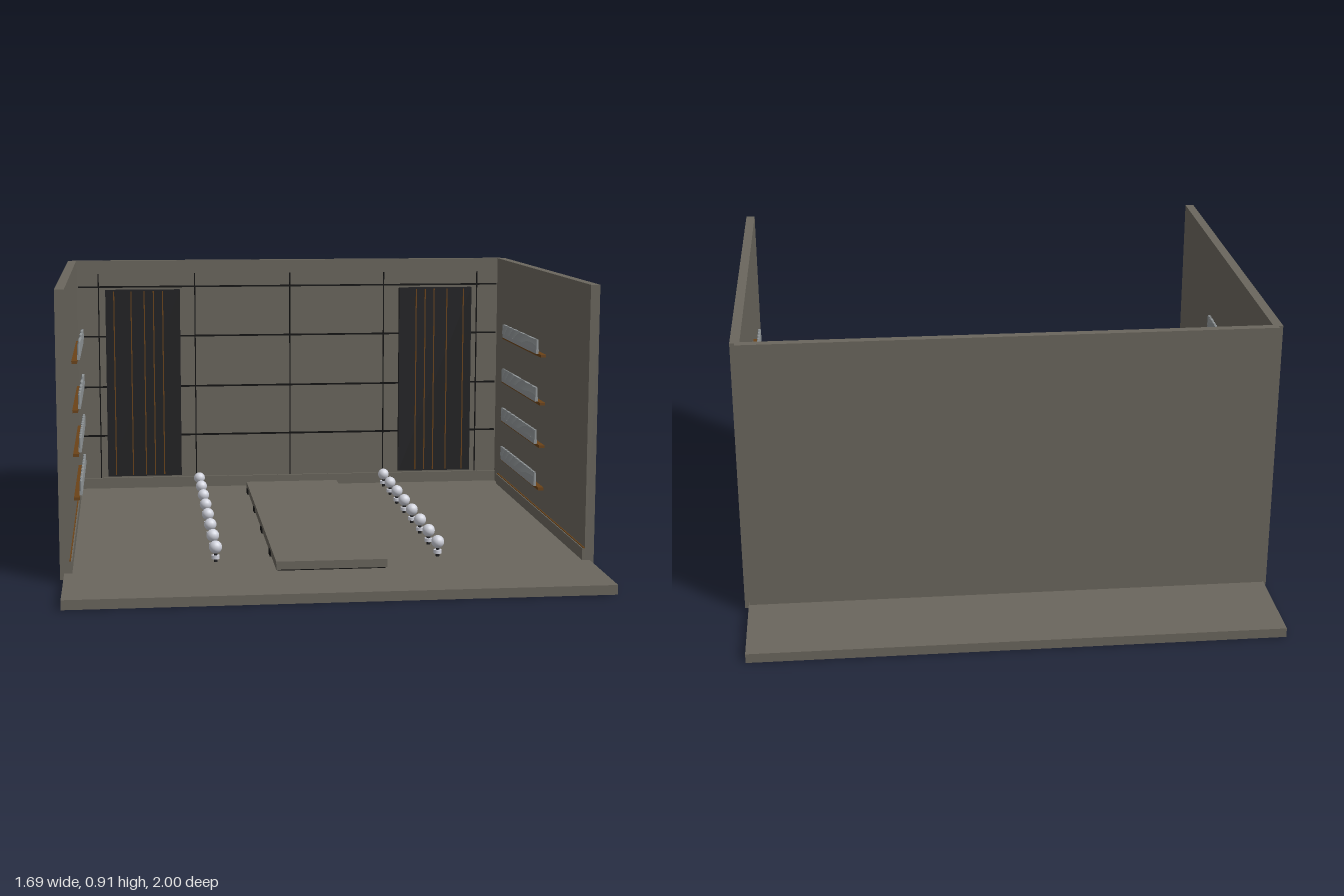
import * as THREE from 'three';

const mat = (name, color) => {
  const m = new THREE.MeshStandardMaterial({ color });
  m.name = name;
  return m;
};

export function createModel() {
  const concrete = mat('concrete', 0x6a665d);
  const black = mat('black', 0x202022);
  const seam = mat('seam', 0x0c0c0c);
  const wood = mat('wood', 0x6b4318);
  const pale = mat('pale metal', 0xd0d2dc);
  const glass = mat('grey glass', 0x8f9496);

  const model = new THREE.Group();
  model.name = 'showroom';

  // Box given by its minimum and maximum along each axis
  const box = (name, m, x0, x1, y0, y1, z0, z1, parent = model) => {
    const mesh = new THREE.Mesh(new THREE.BoxGeometry(x1 - x0, y1 - y0, z1 - z0), m);
    mesh.position.set((x0 + x1) / 2, (y0 + y1) / 2, (z0 + z1) / 2);
    mesh.name = name;
    parent.add(mesh);
    return mesh;
  };
  // Same box on the chosen side of x = 0
  const sideBox = (s, name, m, x0, x1, ...rest) =>
    s > 0 ? box(name, m, x0, x1, ...rest) : box(name, m, -x1, -x0, ...rest);

  // Shell
  box('floor', concrete, -0.832, 0.832, 0, 0.03, -1, 1);
  box('backWall', concrete, -0.83, 0.83, 0.01, 0.91, -0.697, -0.67);
  box('backSkirting', concrete, -0.815, 0.815, 0.03, 0.07, -0.67, -0.66);

  // Runway with small dark clips along its edges
  box('runway', concrete, -0.177, 0.172, 0.034, 0.06, -0.58, 0.72);
  box('runwayShadowGap', seam, -0.172, 0.167, 0.03, 0.034, -0.575, 0.715);
  for (const z of [-0.505, -0.17, 0.165, 0.5]) {
    box('runwayClip', seam, -0.181, 0.176, 0.03, 0.045, z - 0.028, z + 0.028);
  }

  // Panel joints on the back wall
  for (const y of [0.235, 0.425, 0.62, 0.81]) {
    box('horizontalJoint', seam, -0.81, 0.81, y - 0.003, y + 0.003, -0.671, -0.664);
  }
  for (const x of [-0.733, -0.366, 0, 0.366, 0.733]) {
    box('verticalJoint', seam, x - 0.002, x + 0.002, 0.07, 0.86, -0.671, -0.666);
  }

  const bottle = new THREE.CylinderGeometry(0.005, 0.006, 0.036, 8);
  const bulb = new THREE.SphereGeometry(0.021, 16, 12);
  const stem = new THREE.CylinderGeometry(0.006, 0.006, 0.03, 10);
  const foot = new THREE.CylinderGeometry(0.013, 0.013, 0.012, 14);

  for (const s of [-1, 1]) {
    // Side wall with skirting and thin trim
    sideBox(s, 'sideWall', concrete, 0.815, 0.845, 0.01, 0.91, -0.68, 0.68);
    sideBox(s, 'sideSkirting', concrete, 0.807, 0.815, 0.03, 0.068, -0.6, 0.68);
    sideBox(s, 'skirtingTrim', wood, 0.811, 0.816, 0.068, 0.071, -0.6, 0.68);

    // Slatted panel on the back wall
    sideBox(s, 'slatPanel', black, 0.424, 0.707, 0.08, 0.8, -0.659, -0.641);
    for (const x of [0.49, 0.525, 0.56, 0.61, 0.675]) {
      sideBox(s, 'slatGap', wood, x - 0.002, x + 0.002, 0.085, 0.795, -0.642, -0.639);
    }

    // Shelves, each with a row of slim bottles
    for (const y of [0.152, 0.302, 0.452, 0.62]) {
      sideBox(s, 'shelf', wood, 0.796, 0.816, y - 0.005, y + 0.005, -0.48, 0.13);
      const row = new THREE.Group();
      row.name = 'bottleRow';
      for (let i = 0; i < 36; i++) {
        const b = new THREE.Mesh(bottle, glass);
        b.name = 'bottle';
        b.position.set(s * 0.791, y + 0.036, -0.435 + i * 0.015);
        row.add(b);
      }
      sideBox(s, 'bottleBase', glass, 0.787, 0.797, y + 0.004, y + 0.02, -0.44, 0.095);
      model.add(row);
    }

    // Row of floor lamps
    for (let i = 0; i < 8; i++) {
      const lamp = new THREE.Group();
      lamp.name = 'floorLamp';
      const parts = [['bulb', bulb, pale, 0.078], ['stem', stem, black, 0.045], ['foot', foot, pale, 0.046]];
      for (const [name, geo, m, y] of parts) {
        const mesh = new THREE.Mesh(geo, m);
        mesh.name = name;
        mesh.position.y = y;
        lamp.add(mesh);
      }
      lamp.position.set(s * 0.358, 0, -0.59 + i * 0.1667);
      model.add(lamp);
    }
  }
  return model;
}
